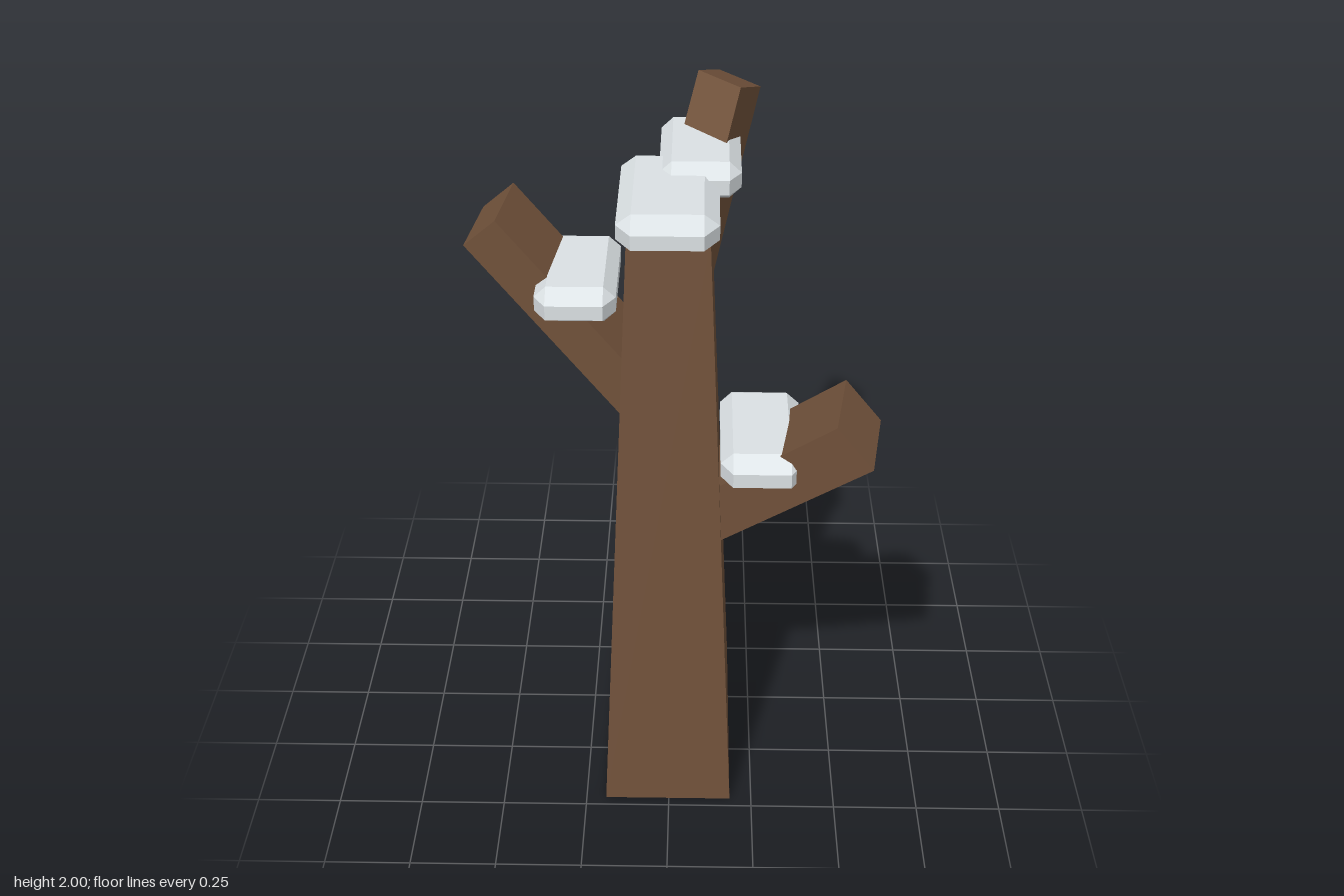
import * as THREE from 'three';
import { ConvexGeometry } from 'three/addons/geometries/ConvexGeometry.js';

const bark = new THREE.MeshStandardMaterial({ name: 'bark brown', color: 0x70513a });
const snow = new THREE.MeshStandardMaterial({ name: 'snow grey', color: 0xdbe1e4 });

const v = (x, y, z) => new THREE.Vector3(x, y, z);

function addMesh(group, name, geometry, material) {
  const mesh = new THREE.Mesh(geometry, material);
  mesh.name = name;
  group.add(mesh);
  return mesh;
}

// Tapered square trunk: the top ring of a box is drawn inwards
function trunkGeometry() {
  const height = 1.8;
  const geo = new THREE.BoxGeometry(0.376, height, 0.724);
  geo.translate(0, height / 2, 0);
  const p = geo.attributes.position;
  for (let i = 0; i < p.count; i++) {
    if (p.getY(i) < height / 2) continue;
    p.setX(i, p.getX(i) * 0.58);
    p.setZ(i, p.getZ(i) * 0.58);
  }
  const flat = geo.toNonIndexed();
  flat.computeVertexNormals();
  return flat;
}

// Branch: parallelogram tip (three corners) swept down into the trunk
function branchGeometry(a, b, c, sweep) {
  const tip = [a, b, c, a.clone().add(c).sub(b)];
  const root = tip.map((corner) => corner.clone().add(sweep));
  return new ConvexGeometry([...tip, ...root]);
}

// Snow pad: box with every edge and corner cut off
function padGeometry(hx, hy, hz) {
  const bx = hx * 0.7, by = hy * 0.4, bz = hz * 0.74;
  const points = [];
  for (const sx of [-1, 1]) for (const sy of [-1, 1]) for (const sz of [-1, 1]) {
    points.push(v(sx * hx, sy * by, sz * bz), v(sx * bx, sy * hy, sz * bz), v(sx * bx, sy * by, sz * hz));
  }
  return new ConvexGeometry(points);
}

export function createModel() {
  const group = new THREE.Group();
  group.name = 'snowyTreeStump';

  addMesh(group, 'trunk', trunkGeometry(), bark).position.set(-0.003, 0, 0.108);

  // Branches
  addMesh(group, 'leftBranch', branchGeometry(
    v(0.48, 1.36, 0.265), v(0.44, 1.36, 0.517), v(0.535, 1.268, 0.575), v(-0.55, -0.56, -0.336)), bark);
  addMesh(group, 'rightBranch', branchGeometry(
    v(-0.455, 1.725, -0.21), v(-0.482, 1.725, 0.05), v(-0.578, 1.632, 0.01), v(0.55, -0.55, 0.22)), bark);
  addMesh(group, 'backBranch', branchGeometry(
    v(0.07, 2, -0.383), v(0.188, 2, -0.243), v(0.25, 1.932, -0.438), v(-0.16, -0.475, 0.5)), bark);

  // Snow: one large pad on the trunk, a smaller one on each branch
  addMesh(group, 'trunkSnow', padGeometry(0.135, 0.05, 0.26), snow).position.set(-0.005, 1.812, 0.108);
  const pads = {
    leftBranchSnow: [0.252, 1.168, 0.263],
    rightBranchSnow: [-0.261, 1.532, 0.002],
    backBranchSnow: [0.078, 1.833, -0.152],
  };
  for (const [name, position] of Object.entries(pads)) {
    addMesh(group, name, padGeometry(0.112, 0.052, 0.218), snow).position.set(...position);
  }
  return group;
}
